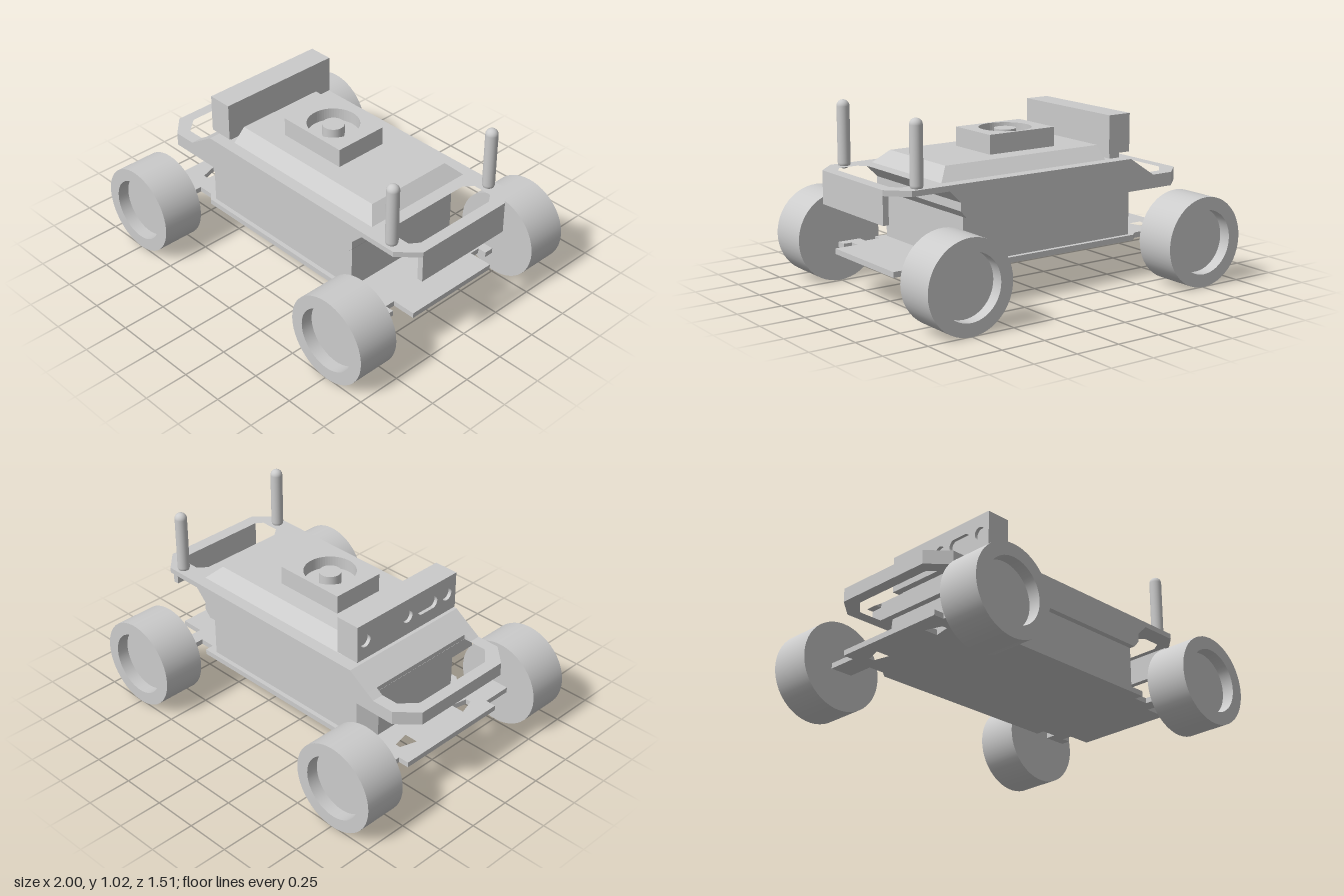
import * as THREE from 'three';

const mat = new THREE.MeshStandardMaterial({ color: 0xcccccc, flatShading: true });
const smooth = new THREE.MeshStandardMaterial({ color: 0xcccccc });

function add(parent, name, geometry, x = 0, y = 0, z = 0, material = mat) {
  const mesh = new THREE.Mesh(geometry, material);
  mesh.name = name;
  mesh.position.set(x, y, z);
  parent.add(mesh);
  return mesh;
}

// Box given by its limits on each axis
function box(parent, name, [x0, x1], [y0, y1], [z0, z1]) {
  return add(parent, name, new THREE.BoxGeometry(x1 - x0, y1 - y0, z1 - z0),
    (x0 + x1) / 2, (y0 + y1) / 2, (z0 + z1) / 2);
}

const toPoints = list => list.map(([a, b]) => new THREE.Vector2(a, b));

// Closed outline from its +z half, mirrored to -z
const mirrored = half => toPoints([...half, ...half.map(([x, z]) => [x, -z]).reverse()]);

// Flat plate with an x/z outline between two heights
function plate(parent, name, outline, y0, y1, holes = []) {
  const shape = new THREE.Shape(outline);
  holes.forEach(h => shape.holes.push(h instanceof THREE.Path ? h : new THREE.Path(h)));
  const g = new THREE.ExtrudeGeometry(shape, { depth: y1 - y0, bevelEnabled: false, curveSegments: 32 });
  g.rotateX(Math.PI / 2);
  return add(parent, name, g, 0, y1, 0);
}

// Side profile in x/y extruded across z
function profile(parent, name, points, z0, z1) {
  const g = new THREE.ExtrudeGeometry(new THREE.Shape(toPoints(points)), { depth: z1 - z0, bevelEnabled: false });
  return add(parent, name, g, 0, 0, z0);
}

const circle = (x, y, r) => new THREE.Path().absarc(x, y, r, 0, Math.PI * 2);

// Wheel with a recessed outer face towards +z
function wheel() {
  const group = new THREE.Group();
  group.name = 'wheel';
  const sections = [
    [[0, -0.122], [0.247, -0.122]],
    [[0.247, -0.122], [0.247, 0.122]],
    [[0.247, 0.122], [0.176, 0.122]],
    [[0.176, 0.122], [0.176, 0.055]],
    [[0.176, 0.055], [0, 0.055]],
  ];
  sections.forEach(s => {
    const g = new THREE.LatheGeometry(toPoints(s), 48);
    g.rotateX(Math.PI / 2);
    add(group, 'wheelSurface', g, 0, 0, 0, smooth);
  });
  return group;
}

export function createModel() {
  const model = new THREE.Group();
  model.name = 'rover';

  // Wheels
  for (const x of [-0.755, 0.755]) {
    for (const side of [1, -1]) {
      const w = wheel();
      w.position.set(x, 0.247, side * 0.633);
      if (side < 0) w.rotation.y = Math.PI;
      model.add(w);
    }
  }

  // Chassis plate with front axle arms, rear tabs and front cut-outs
  const cutout = s => toPoints([[-0.795, 0.18], [-0.715, 0.18], [-0.735, 0.275], [-0.765, 0.275]].map(([x, z]) => [x, z * s]));
  plate(model, 'chassisPlate', mirrored([
    [-0.88, 0.34], [-0.82, 0.34], [-0.82, 0.515], [-0.69, 0.515], [-0.69, 0.36], [-0.6, 0.36], [-0.56, 0.395],
    [0.6, 0.395], [0.6, 0.345], [0.69, 0.345], [0.69, 0.405], [0.82, 0.405], [0.82, 0.35], [0.77, 0.35], [0.77, 0.29], [0.905, 0.29],
  ]), 0.215, 0.245, [cutout(1), cutout(-1)]);

  // Lower body with chamfered front corners
  plate(model, 'lowerBody', mirrored([[-0.615, 0.28], [-0.545, 0.37], [0.54, 0.37]]), 0.245, 0.49);

  // Upper shell
  profile(model, 'upperShell', [
    [-0.65, 0.49], [0.54, 0.49], [0.575, 0.53], [0.575, 0.575], [0.64, 0.64], [0.64, 0.67], [-0.53, 0.67], [-0.65, 0.591],
  ], -0.403, 0.403);
  plate(model, 'frontBumper', mirrored([[-0.93, 0.3], [-0.82, 0.403], [-0.65, 0.403]]), 0.49, 0.565, [
    mirrored([[-0.865, 0.25], [-0.79, 0.335], [-0.651, 0.335]]),
  ]);
  for (const z0 of [-0.403, 0.335]) {
    profile(model, 'bumperGusset', [[-0.69, 0.565], [-0.65, 0.565], [-0.65, 0.591]], z0, z0 + 0.068);
  }
  plate(model, 'rearShelf', mirrored([[0.64, 0.403], [0.86, 0.403], [0.965, 0.3]]), 0.64, 0.67, [
    mirrored([[0.717, 0.25], [0.757, 0.3], [0.865, 0.3], [0.9, 0.25]]),
  ]);
  box(model, 'rearPanel', [0.932, 0.965], [0.49, 0.64], [-0.3, 0.3]);

  // Raised deck, bevelled at the sides and rear
  const deck = new THREE.BoxGeometry(1.05, 0.07, 0.67);
  const p = deck.attributes.position;
  for (let i = 0; i < p.count; i++) {
    if (p.getY(i) < 0) continue;
    p.setZ(i, Math.sign(p.getZ(i)) * 0.265);
    if (p.getX(i) > 0) p.setX(i, 0.455);
  }
  deck.computeVertexNormals();
  add(model, 'raisedDeck', deck, 0.12, 0.705, 0);

  // Roof module with a round well and centre stud
  const cx = 0.015;
  box(model, 'moduleBase', [-0.195, 0.225], [0.74, 0.775], [-0.157, 0.157]);
  plate(model, 'moduleTop', mirrored([[-0.195, 0.157], [0.225, 0.157]]), 0.775, 0.845, [circle(cx, 0, 0.142)]);
  add(model, 'moduleStud', new THREE.CylinderGeometry(0.06, 0.06, 0.065, 32), cx, 0.807, 0, smooth);

  // Camera bar with recessed lenses on its forward face
  box(model, 'cameraMount', [-0.505, -0.44], [0.67, 0.705], [-0.33, 0.33]);
  box(model, 'cameraBody', [-0.525, -0.405], [0.705, 0.915], [-0.368, 0.368]);
  const face = new THREE.Shape(toPoints([[-0.368, -0.105], [0.368, -0.105], [0.368, 0.105], [-0.368, 0.105]]));
  const slot = new THREE.Path();
  slot.absarc(0.19, 0, 0.035, -Math.PI / 2, Math.PI / 2);
  slot.absarc(0.11, 0, 0.035, Math.PI / 2, Math.PI * 1.5);
  face.holes.push(circle(-0.31, 0, 0.035), circle(0, 0, 0.035), circle(0.3, 0, 0.035), slot);
  const faceGeometry = new THREE.ExtrudeGeometry(face, { depth: 0.02, bevelEnabled: false });
  add(model, 'cameraFace', faceGeometry, -0.525, 0.81, 0).rotation.y = -Math.PI / 2;

  // Antennas with rounded tips
  for (const z of [-0.355, 0.355]) {
    add(model, 'antenna', new THREE.CapsuleGeometry(0.034, 0.3, 8, 24), 0.803, 0.836, z, smooth);
  }

  return model;
}
